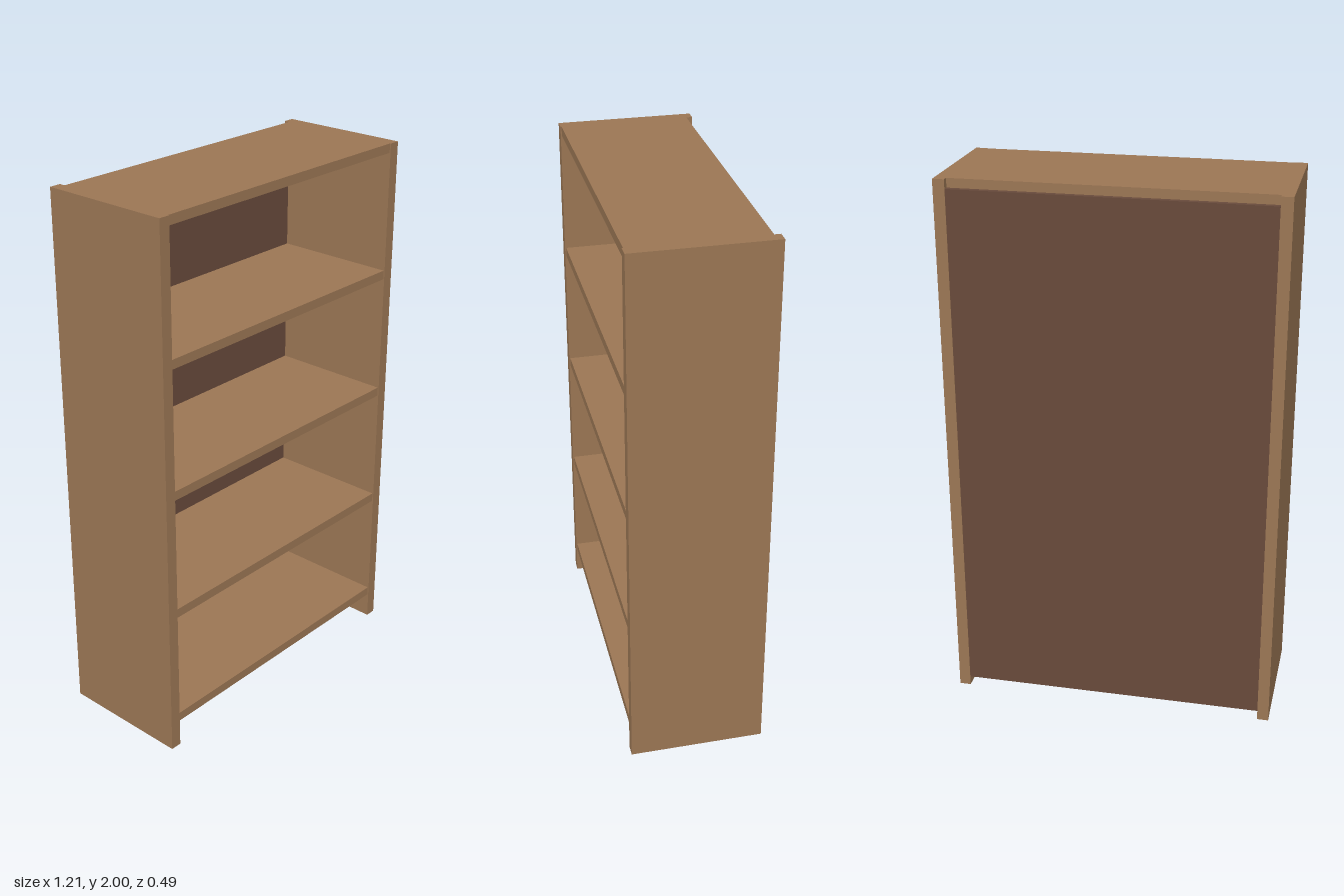
import * as THREE from 'three';

export function createModel() {
  const wood = new THREE.MeshStandardMaterial({ name: 'wood', color: 0x9b7654 });
  const darkWood = new THREE.MeshStandardMaterial({ name: 'darkWood', color: 0x684a3b });
  const group = new THREE.Group();
  group.name = 'bookcase';

  // Box given by its limits on each axis
  function board(name, material, [x0, x1], [y0, y1], [z0, z1]) {
    const mesh = new THREE.Mesh(new THREE.BoxGeometry(x1 - x0, y1 - y0, z1 - z0), material);
    mesh.position.set((x0 + x1) / 2, (y0 + y1) / 2, (z0 + z1) / 2);
    mesh.name = name;
    group.add(mesh);
  }

  const outer = 0.605, inner = 0.563, depth = 0.247;
  const thickness = 0.034, shelfBack = -0.225, shelfFront = 0.243;

  // Side panels, standing on the floor
  board('leftSide', wood, [inner, outer], [0, 2], [-depth, depth]);
  board('rightSide', wood, [-outer, -inner], [0, 2], [-depth, depth]);

  // Top board and shelves, set in slightly from the front
  const tops = { bottomShelf: 0.134, lowerShelf: 0.579, middleShelf: 1.045, upperShelf: 1.522, topBoard: 2 };
  for (const [name, y] of Object.entries(tops)) {
    board(name, wood, [-inner, inner], [y - thickness, y], [shelfBack, shelfFront]);
  }

  // Back panel behind the shelves
  board('backPanel', darkWood, [-inner, inner], [0.035, 1.967], [-0.245, shelfBack]);

  return group;
}
